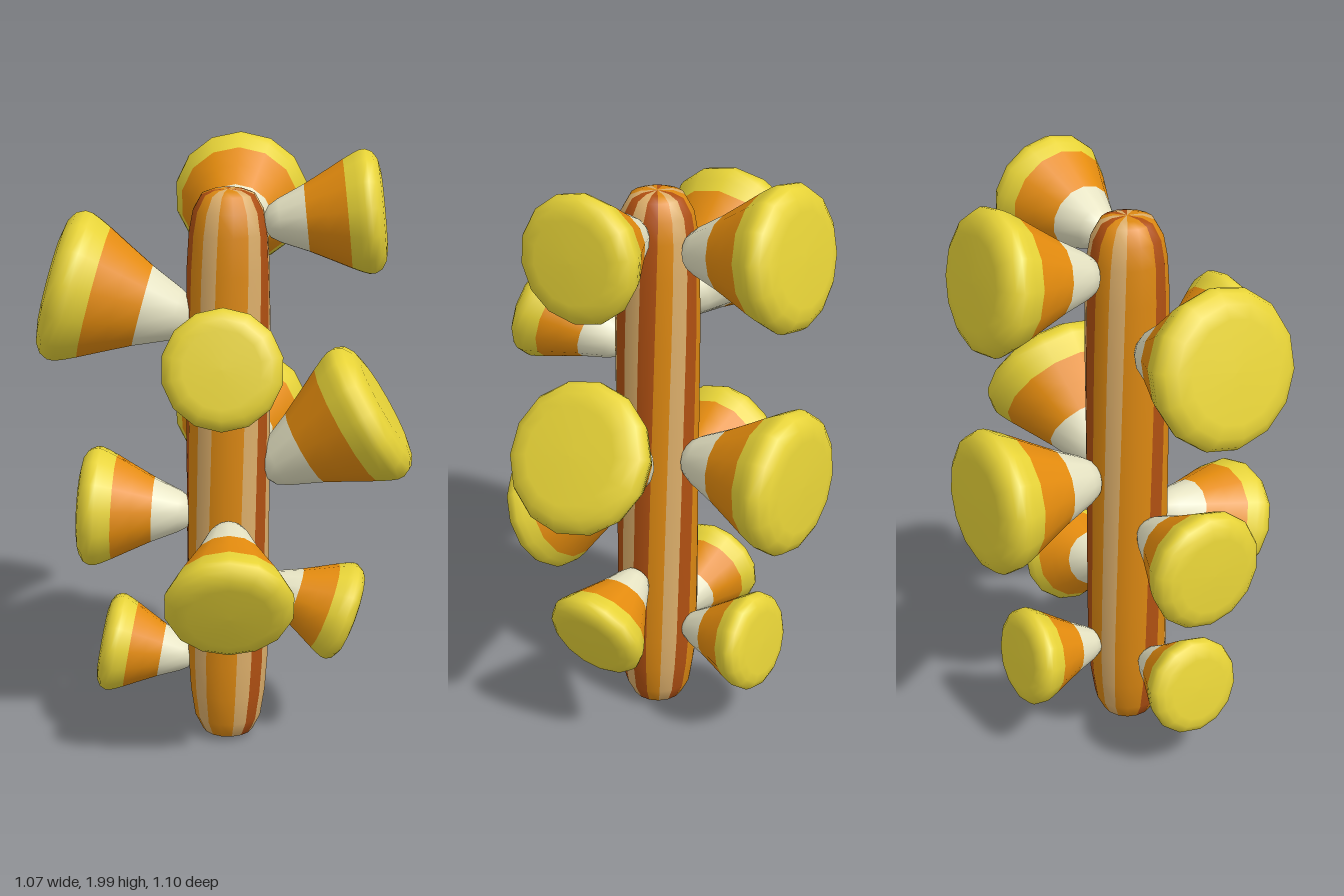
import * as THREE from 'three';

const material = (name, color) => {
  const m = new THREE.MeshStandardMaterial({ color });
  m.name = name;
  return m;
};
const points = (list) => list.map(([x, y]) => new THREE.Vector2(x, y));

export function createModel() {
  const model = new THREE.Group();
  model.name = 'sweetTower';
  const yellow = material('yellow', 0xe9d538);
  const orange = material('orange', 0xe58c0e);
  const cream = material('cream', 0xe6e3c3);
  const amber = material('amber', 0xdc8812);
  const brown = material('burntOrange', 0xb05012);
  const tan = material('tan', 0xdcae6a);

  // Central stick: one lathe slice per stripe, gently twisted
  const stick = new THREE.Group();
  stick.name = 'stick';
  stick.position.set(0.02, 0, -0.005);
  const straight = [0.5, 0.8, 1.1, 1.4].map((y) => [0.136, y]);
  const stickProfile = points([
    [0, 0.008], [0.05, 0.01], [0.085, 0.025], [0.112, 0.08], [0.127, 0.18], [0.135, 0.3],
    ...straight,
    [0.133, 1.62], [0.126, 1.74], [0.113, 1.81], [0.085, 1.86], [0.05, 1.873], [0, 1.875],
  ]);
  const stripes = [
    tan, amber, amber, tan, brown, tan, brown, amber,
    tan, brown, amber, tan, amber, amber, brown, amber,
  ];
  const step = (Math.PI * 2) / stripes.length;
  const up = new THREE.Vector3(0, 1, 0);
  const v = new THREE.Vector3();
  stripes.forEach((mat, i) => {
    const geo = new THREE.LatheGeometry(stickProfile, 1, (i - 0.5) * step, step);
    const { position, normal } = geo.attributes;
    for (let j = 0; j < position.count; j++) {
      const turn = position.getY(j) * 0.21;
      for (const attribute of [position, normal]) {
        v.fromBufferAttribute(attribute, j).applyAxisAngle(up, turn);
        attribute.setXYZ(j, v.x, v.y, v.z);
      }
    }
    const stripe = new THREE.Mesh(geo, mat);
    stripe.name = 'stripe';
    stick.add(stripe);
  });
  model.add(stick);

  // Three-band sweet of about unit length, growing along +y
  const bands = [
    ['creamTip', cream, [[0, -0.02], [0.08, -0.01], [0.145, 0.03], [0.2, 0.12], [0.305, 0.36]]],
    ['orangeBand', orange, [[0.305, 0.36], [0.4, 0.545], [0.492, 0.72]]],
    ['yellowEnd', yellow,
      [[0.492, 0.72], [0.535, 0.81], [0.558, 0.87], [0.56, 0.92], [0.53, 0.98], [0.46, 1.025], [0.36, 1.045], [0, 1.05]]],
  ].map(([name, mat, profile]) => [name, mat, new THREE.LatheGeometry(points(profile), 14)]);

  // Sweets: azimuth from the front, height of the tip, upward pitch, length
  const sweets = [
    [45, 1.32, 15, 0.335], [48, 0.78, -26, 0.37],
    [136, 1.77, 6, 0.355], [135, 0.95, 31, 0.43], [135, 0.55, -20, 0.3],
    [222, 1.70, 10, 0.405], [222, 0.98, 4, 0.42], [222, 0.33, 8, 0.295],
    [315, 1.455, 15, 0.445], [315, 0.8, 3, 0.355], [315, 0.285, 10, 0.295],
  ];
  for (const [azimuth, height, pitch, length] of sweets) {
    const a = THREE.MathUtils.degToRad(azimuth);
    const sweet = new THREE.Group();
    sweet.name = 'sweet';
    sweet.position.set(0.02 + Math.sin(a) * 0.12, height, Math.cos(a) * 0.12 - 0.005);
    sweet.rotation.order = 'YXZ';
    sweet.rotation.set(THREE.MathUtils.degToRad(90 - pitch), a, 0);
    sweet.scale.setScalar(length);
    for (const [name, mat, geo] of bands) {
      const band = new THREE.Mesh(geo, mat);
      band.name = name;
      sweet.add(band);
    }
    model.add(sweet);
  }
  return model;
}
